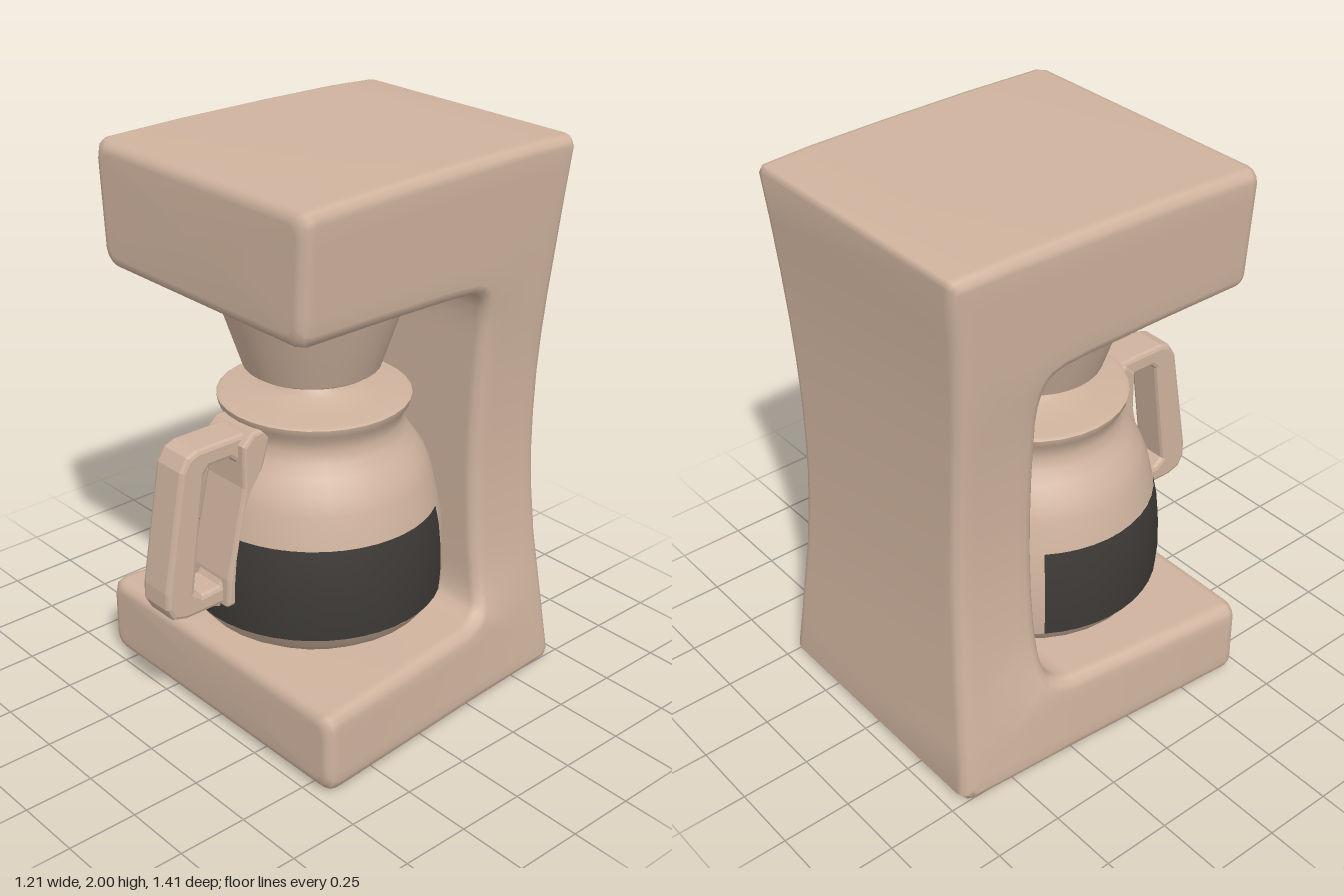
import * as THREE from 'three';

const cream = new THREE.MeshStandardMaterial({ color: 0xcfb39e });
cream.name = 'warm beige';
const coffee = new THREE.MeshStandardMaterial({ color: 0x3d3a36 });
coffee.name = 'dark coffee';

// piecewise linear lookup in [[key, value], ...]
function lookup(table, k) {
  if (k <= table[0][0]) return table[0][1];
  for (let i = 1; i < table.length; i++) {
    const [k0, v0] = table[i - 1], [k1, v1] = table[i];
    if (k <= k1) return v0 + (v1 - v0) * (k - k0) / (k1 - k0);
  }
  return table[table.length - 1][1];
}

// half width of the housing: waisted column, flaring towards the front at base and head
const backWidth = [[0, 0.515], [0.3, 0.48], [0.6, 0.445], [0.9, 0.43], [1.2, 0.44], [1.55, 0.47], [2, 0.5]];
const frontFlare = [[0, 0.095], [0.3, 0.13], [0.42, 0.03], [0.6, 0], [1.4, 0], [1.55, 0.03], [2, 0.03]];
const halfWidth = (y, z) => lookup(backWidth, y) + lookup(frontFlare, y) * (z + 0.7) / 1.18;

// C-shaped housing: rounded sections lofted from base front, up the column, to head front
function housingGeometry() {
  const stations = []; // [outer z, outer y, inner z, inner y, inset]
  const r = 0.045, steps = [0, 30, 60, 90].map((d) => d * Math.PI / 180);
  for (const a of steps)
    stations.push([0.475 - r * (1 - Math.cos(a)), 0.005, 0.475 - r * (1 - Math.cos(a)), 0.303, r * (1 - Math.sin(a))]);
  stations.push(
    [0.1, 0.002, 0.1, 0.305, 0], [-0.25, 0, -0.24, 0.31, 0], [-0.55, 0, -0.28, 0.32, 0],
    [-0.685, 0.002, -0.31, 0.34, 0], [-0.705, 0.025, -0.326, 0.37, 0], [-0.69, 0.2, -0.333, 0.42, 0],
    [-0.678, 0.36, -0.335, 0.48, 0], [-0.666, 0.52, -0.335, 0.56, 0], [-0.656, 0.7, -0.335, 0.7, 0],
    [-0.651, 0.85, -0.333, 0.85, 0], [-0.648, 1.0, -0.332, 1.0, 0], [-0.647, 1.15, -0.331, 1.15, 0],
    [-0.648, 1.3, -0.33, 1.27, 0], [-0.651, 1.45, -0.33, 1.36, 0], [-0.658, 1.62, -0.327, 1.42, 0],
    [-0.67, 1.8, -0.32, 1.47, 0], [-0.685, 1.97, -0.305, 1.505, 0], [-0.67, 1.99, -0.28, 1.525, 0],
    [-0.5, 1.998, -0.24, 1.535, 0], [-0.2, 2, -0.15, 1.54, 0], [0.15, 1.997, 0.15, 1.55, 0]);
  for (const a of steps.slice().reverse())
    stations.push([0.5 - r * (1 - Math.cos(a)), 1.988, 0.5 - r * (1 - Math.cos(a)), 1.555, r * (1 - Math.sin(a))]);

  const pos = [], index = [];
  let n = 0;
  for (const [oz, oy, iz, iy, e] of stations) {
    const len = Math.hypot(oz - iz, oy - iy);
    const side = []; // [side inset, distance from the outer edge]
    for (const a of steps) side.push([r * (1 - Math.sin(a)) + e, e + r * (1 - Math.cos(a))]);
    for (let k = 1; k < 6; k++) side.push([e, e + r + (len - 2 * e - 2 * r) * k / 6]);
    for (const a of steps.slice().reverse())
      side.push([r * (1 - Math.sin(a)) + e, len - e - r * (1 - Math.cos(a))]);
    const put = (sign, [dx, d]) => {
      const f = d / len, z = oz + (iz - oz) * f, y = oy + (iy - oy) * f;
      pos.push(sign * (halfWidth(y, z) - dx), y, z);
    };
    side.forEach((p) => put(1, p));
    side.slice().reverse().forEach((p) => put(-1, p));
    n = side.length * 2;
  }
  for (let i = 0; i < stations.length - 1; i++)
    for (let j = 0; j < n; j++) {
      const a = i * n + j, b = i * n + (j + 1) % n;
      index.push(a, a + n, b, b, a + n, b + n);
    }
  // flat front caps
  for (const i of [0, stations.length - 1]) {
    const [oz, oy, iz, iy] = stations[i], c = pos.length / 3;
    pos.push(0, (oy + iy) / 2, (oz + iz) / 2);
    for (let j = 0; j < n; j++) {
      const a = i * n + j, b = i * n + (j + 1) % n;
      if (i === 0) index.push(c, a, b); else index.push(c, b, a);
    }
  }
  const g = new THREE.BufferGeometry();
  g.setAttribute('position', new THREE.Float32BufferAttribute(pos, 3));
  g.setIndex(index);
  g.computeVertexNormals();
  return g;
}

function mesh(name, geometry, material = cream) {
  const m = new THREE.Mesh(geometry, material);
  m.name = name;
  return m;
}

const lathe = (points, start = 0, length = Math.PI * 2, segments = 32) =>
  new THREE.LatheGeometry(points.map(([x, y]) => new THREE.Vector2(x, y)), segments, start, length);

// side outline (z, y) extruded across x
function sidePlate(outline, hole, width, bevel) {
  const v = (list) => list.map(([z, y]) => new THREE.Vector2(z, y));
  const shape = new THREE.Shape(v(outline));
  if (hole) shape.holes.push(new THREE.Path(v(hole)));
  const depth = width - 2 * bevel;
  const g = new THREE.ExtrudeGeometry(shape, {
    depth, bevelEnabled: true, bevelThickness: bevel, bevelSize: bevel, bevelOffset: -bevel, bevelSegments: 2
  });
  return g.translate(0, 0, -depth / 2).rotateY(-Math.PI / 2);
}

export function createModel() {
  const model = new THREE.Group();
  model.name = 'coffeeMaker';
  model.add(mesh('housing', housingGeometry()));

  // filter basket under the head
  const basket = mesh('filterBasket', lathe([
    [0, 1.23], [0.22, 1.23], [0.235, 1.24], [0.305, 1.45], [0.315, 1.465], [0.315, 1.48],
    [0.345, 1.485], [0.36, 1.5], [0.365, 1.53], [0.365, 1.58]]));
  basket.position.z = 0.02;
  model.add(basket);

  // carafe: coffee shows around the front, the rear strip is plain
  const carafe = new THREE.Group();
  carafe.name = 'carafe';
  carafe.position.z = 0.01;
  const band = [[0.45, 0.41], [0.455, 0.48], [0.453, 0.58], [0.444, 0.67], [0.43, 0.74]];
  const half = 124 * Math.PI / 180;
  carafe.add(
    mesh('carafeBottom', lathe([[0, 0.305], [0.34, 0.305], [0.37, 0.33], [0.405, 0.35], [0.425, 0.375], [0.45, 0.41]])),
    mesh('coffeeBand', lathe(band, -half, half * 2), coffee),
    mesh('carafeBack', lathe(band, half, Math.PI * 2 - half * 2, 12)),
    mesh('carafeShoulder', lathe([
      [0.43, 0.74], [0.405, 0.85], [0.38, 0.91], [0.345, 0.96], [0.315, 1.0], [0.302, 1.04],
      [0.308, 1.08], [0.328, 1.105], [0.333, 1.13]])),
    mesh('lid', lathe([
      [0.333, 1.13], [0.32, 1.138], [0.23, 1.14], [0.15, 1.155], [0.11, 1.175], [0.12, 1.195],
      [0.155, 1.215], [0.16, 1.225], [0.15, 1.235], [0, 1.235]])));
  model.add(carafe);

  // handle loop with its mount against the glass
  const handle = new THREE.Group();
  handle.name = 'handle';
  handle.add(
    mesh('handleGrip', sidePlate(
      [[0.3, 1.1], [0.56, 1.1], [0.6, 1.085], [0.628, 1.04], [0.702, 0.62], [0.704, 0.56], [0.68, 0.515],
        [0.63, 0.5], [0.42, 0.5], [0.4, 0.7], [0.34, 0.9]],
      [[0.515, 1.03], [0.43, 1.03], [0.395, 1.0], [0.385, 0.93], [0.468, 0.6], [0.485, 0.57], [0.56, 0.565],
        [0.592, 0.59], [0.535, 1.01]], 0.14, 0.015)),
    mesh('handleMount', sidePlate(
      [[0.28, 1.11], [0.36, 1.11], [0.4, 1.07], [0.4, 0.92], [0.474, 0.6], [0.48, 0.5], [0.42, 0.5],
        [0.4, 0.7], [0.34, 0.9]], null, 0.205, 0.012)),
    mesh('handleTab', sidePlate([[0.42, 0.53], [0.51, 0.53], [0.5, 0.48], [0.46, 0.465], [0.42, 0.47]], null, 0.07, 0.01)));
  model.add(handle);
  return model;
}
